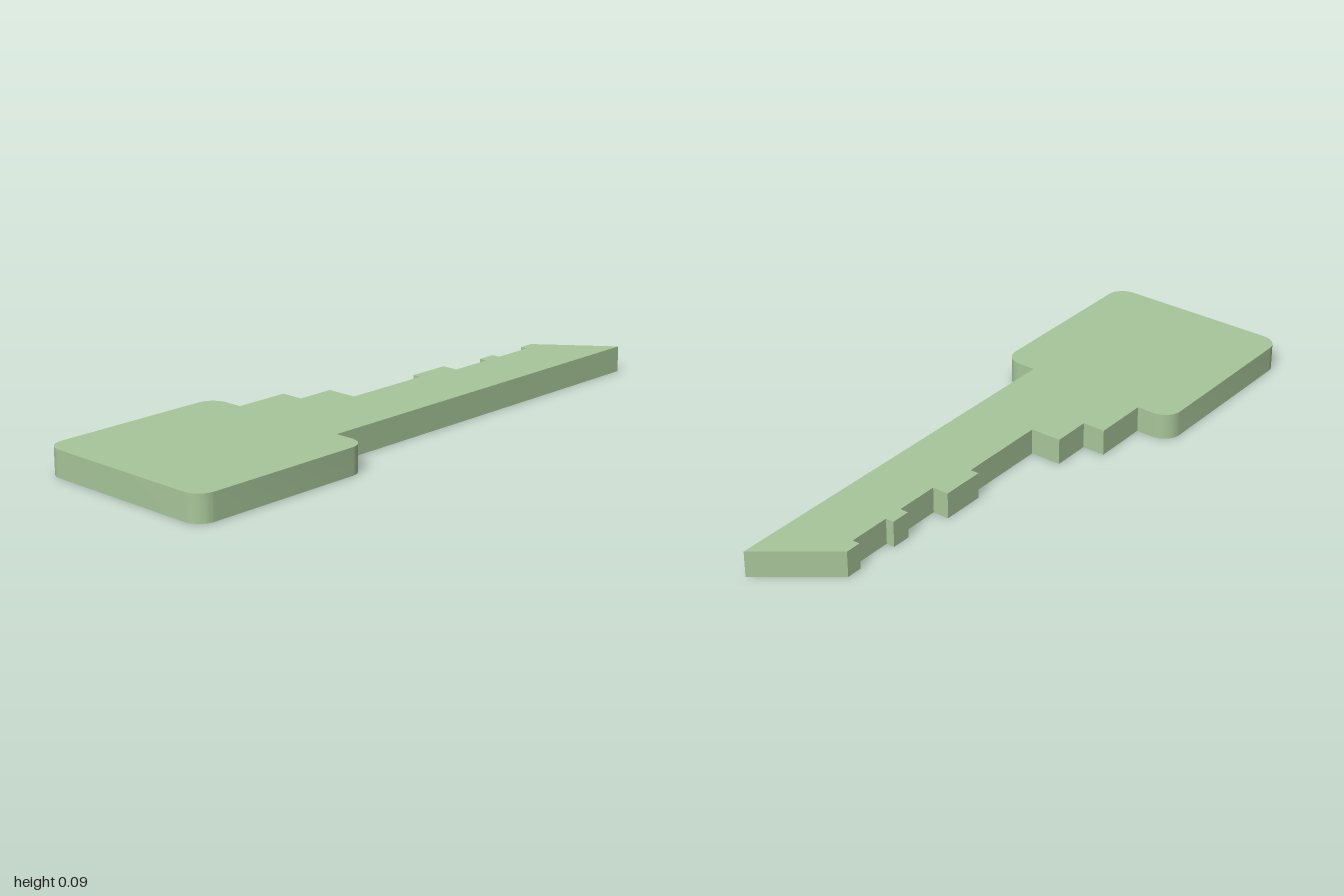
import * as THREE from 'three';
import { toCreasedNormals } from 'three/addons/utils/BufferGeometryUtils.js';

const THICKNESS = 0.086;

export function createModel() {
  const group = new THREE.Group();
  group.name = 'key';

  // Outline drawn in plan: shape y is -z
  const left = -1, right = -0.35, half = 0.326, r = 0.06;
  const s = new THREE.Shape();

  // Lower half of the rounded bow
  s.moveTo(left, half - r);
  s.lineTo(left, -half + r);
  s.absarc(left + r, -half + r, r, Math.PI, Math.PI * 1.5);
  s.lineTo(right - r, -half);
  s.absarc(right - r, -half + r, r, -Math.PI / 2, 0);

  // Straight edge of the blade, slanted tip, then the teeth back to the bow
  const blade = [
    [right, -0.206], [1, -0.206], [0.823, 0.025],
    [0.77, 0.025], [0.77, 0], [0.626, 0], [0.626, 0.028], [0.561, 0.028],
    [0.561, 0], [0.412, 0], [0.412, 0.055], [0.267, 0.055], [0.267, 0.026],
    [-0.037, 0.026], [-0.037, 0.13], [-0.165, 0.13], [-0.165, 0.206], [right, 0.206],
  ];
  for (const [x, y] of blade) s.lineTo(x, y);

  // Upper half of the bow
  s.lineTo(right, half - r);
  s.absarc(right - r, half - r, r, 0, Math.PI / 2);
  s.lineTo(left + r, half);
  s.absarc(left + r, half - r, r, Math.PI / 2, Math.PI);

  // Lay the extrusion flat on the ground
  const geometry = new THREE.ExtrudeGeometry(s, {
    depth: THICKNESS, bevelEnabled: false, curveSegments: 8,
  });
  geometry.rotateX(-Math.PI / 2);

  const body = new THREE.Mesh(
    toCreasedNormals(geometry, Math.PI / 6),
    new THREE.MeshStandardMaterial({ color: 0xa8c69a })
  );
  body.name = 'keyBody';
  group.add(body);
  return group;
}
